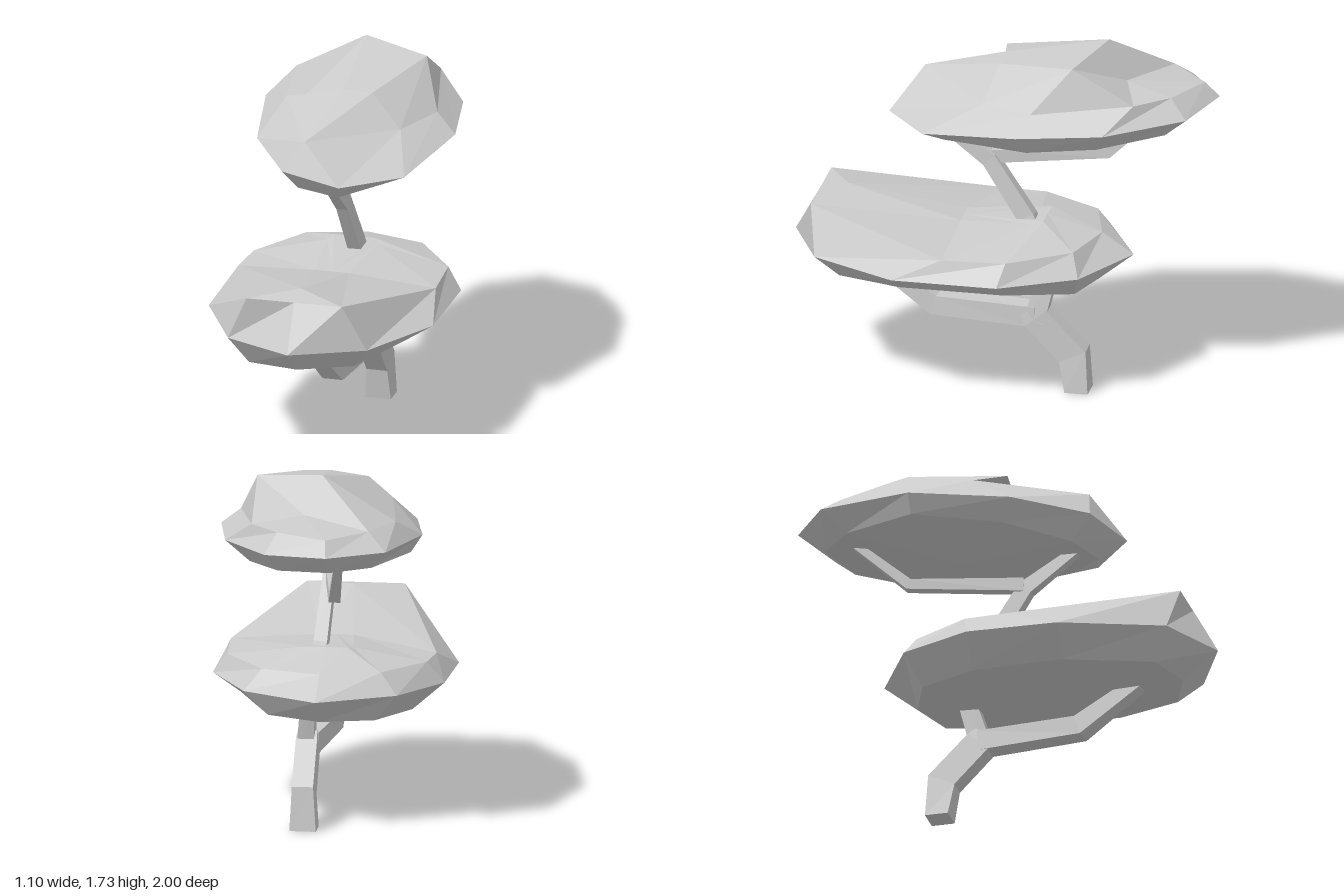
import * as THREE from 'three';

const V = (p) => new THREE.Vector3(p[0], p[1], p[2]);

// Closed faceted skin through rings listed bottom to top, each running counter-clockwise from above
function loft(name, rings, bottom, top) {
  const pos = [];
  const tri = (a, b, c) => {
    const area = V(b).sub(V(a)).cross(V(c).sub(V(a))).length();
    if (area > 1e-6) pos.push(...a, ...b, ...c);
  };
  const n = rings[0].length;
  for (let i = 0; i < n; i++) {
    const j = (i + 1) % n;
    tri(bottom, rings[0][j], rings[0][i]);
    for (let r = 0; r < rings.length - 1; r++) {
      const lo = rings[r], up = rings[r + 1];
      tri(lo[i], lo[j], up[j]);
      tri(lo[i], up[j], up[i]);
    }
    const last = rings[rings.length - 1];
    tri(top, last[i], last[j]);
  }
  const geo = new THREE.BufferGeometry();
  geo.setAttribute('position', new THREE.Float32BufferAttribute(pos, 3));
  geo.computeVertexNormals();
  const mesh = new THREE.Mesh(geo, new THREE.MeshStandardMaterial({ color: 0xcccccc, flatShading: true }));
  mesh.name = name;
  return mesh;
}

// Four-sided limb; each path entry is [x, y, z, half width, half depth]
function limb(name, path, flatBase = false) {
  const rings = path.map((p, i) => {
    const dir = (a, b) => V(b).sub(V(a)).normalize();
    const t = new THREE.Vector3();
    if (i > 0) t.add(dir(path[i - 1], p));
    if (i < path.length - 1) t.add(dir(p, path[i + 1]));
    if (flatBase && i === 0) t.set(0, 1, 0);
    t.normalize();
    const v = new THREE.Vector3(1, 0, 0).cross(t).normalize();
    const s = t.clone().cross(v).normalize();
    return [[1, -1], [1, 1], [-1, 1], [-1, -1]].map(([a, b]) =>
      V(p).addScaledVector(v, a * p[4]).addScaledVector(s, b * p[3]).toArray());
  });
  return loft(name, rings, path[0].slice(0, 3), path[path.length - 1].slice(0, 3));
}

export function createModel() {
  const tree = new THREE.Group();
  tree.name = 'tree';

  // Lower foliage: underside, rim, shoulder and ridge rings
  tree.add(loft('lowerFoliage', [
    [[0, 0.535, 0.83], [0.25, 0.545, 0.74], [0.42, 0.58, 0.42], [0.42, 0.58, -0.08], [0.25, 0.545, -0.38],
      [0, 0.535, -0.45], [-0.25, 0.53, -0.36], [-0.39, 0.52, -0.08], [-0.4, 0.52, 0.35], [-0.25, 0.525, 0.76]],
    [[0, 0.665, 1], [0.34, 0.665, 0.84], [0.55, 0.665, 0.43], [0.55, 0.665, -0.07], [0.36, 0.665, -0.42],
      [0, 0.665, -0.61], [-0.36, 0.665, -0.42], [-0.54, 0.65, -0.07], [-0.55, 0.64, 0.37], [-0.33, 0.665, 0.84]],
    [[0, 0.885, 0.88], [0.23, 0.885, 0.88], [0.5, 0.765, 0.2], [0.48, 0.765, -0.1], [0.28, 0.765, -0.38],
      [0, 0.765, -0.46], [-0.28, 0.765, -0.38], [-0.46, 0.755, -0.1], [-0.48, 0.75, 0.1], [-0.23, 0.885, 0.88]],
    [[0, 0.91, 0.75], [0, 0.91, 0.75], [0.08, 0.8, 0.2], [0.12, 0.825, -0.15], [0.1, 0.835, -0.2],
      [0, 0.835, -0.2], [-0.1, 0.835, -0.2], [-0.12, 0.825, -0.15], [-0.08, 0.8, 0.2], [0, 0.91, 0.75]],
  ], [-0.2, 0.5, 0.2], [0, 0.8, 0.2]));

  // Upper foliage, with its tall ridge breaking off towards the back
  tree.add(loft('upperFoliage', [
    [[0.08, 1.245, 0.4], [0.25, 1.27, 0.24], [0.39, 1.295, -0.18], [0.32, 1.31, -0.5], [0.15, 1.34, -0.79],
      [-0.1, 1.355, -0.87], [-0.28, 1.35, -0.72], [-0.42, 1.345, -0.37], [-0.31, 1.3, 0.05], [-0.13, 1.25, 0.33]],
    [[0.12, 1.34, 0.53], [0.38, 1.345, 0.32], [0.5, 1.405, -0.15], [0.43, 1.42, -0.55], [0.2, 1.44, -0.9],
      [-0.1, 1.455, -1], [-0.36, 1.45, -0.82], [-0.475, 1.43, -0.37], [-0.39, 1.39, 0.1], [-0.18, 1.36, 0.43]],
    [[-0.08, 1.505, 0.4], [0.29, 1.48, 0.05], [0.4, 1.49, -0.2], [0.29, 1.53, -0.67], [0.15, 1.53, -0.82],
      [-0.09, 1.525, -0.93], [-0.27, 1.53, -0.75], [-0.37, 1.53, -0.53], [-0.3, 1.54, -0.1], [-0.08, 1.505, 0.4]],
    [[0, 1.635, 0], [0.14, 1.63, 0], [0.3, 1.695, -0.38], [0.3, 1.695, -0.38], [0.05, 1.56, -0.59],
      [0.05, 1.56, -0.59], [0.05, 1.56, -0.59], [-0.02, 1.73, -0.49], [-0.17, 1.605, 0.03], [0, 1.635, 0]],
  ], [0, 1.255, -0.23], [-0.02, 1.73, -0.49]));

  // Leaning trunk that forks under the lower foliage
  tree.add(limb('trunk', [
    [0.083, 0, -0.365, 0.062, 0.055],
    [0.085, 0.18, -0.345, 0.05, 0.07],
    [0.09, 0.36, -0.17, 0.05, 0.065],
    [0.09, 0.4, -0.14, 0.045, 0.05],
  ], true));
  tree.add(limb('frontBranch', [
    [0.09, 0.365, -0.17, 0.05, 0.05],
    [0.04, 0.365, 0.325, 0.05, 0.048],
    [0.03, 0.56, 0.62, 0.04, 0.03],
  ]));

  // Upper trunk rising through the lower foliage, then bending forward
  tree.add(limb('upperTrunk', [
    [0.1, 0.34, -0.16, 0.04, 0.05],
    [0.08, 0.56, -0.22, 0.035, 0.045],
    [0.035, 0.83, -0.11, 0.032, 0.042],
    [0.02, 1.1, 0.07, 0.028, 0.038],
    [0.02, 1.28, 0.33, 0.022, 0.02],
  ]));
  tree.add(limb('backBranch', [
    [0.01, 1.115, 0.06, 0.025, 0.033],
    [-0.075, 1.142, -0.47, 0.028, 0.026],
    [-0.125, 1.36, -0.72, 0.02, 0.018],
  ]));
  return tree;
}
